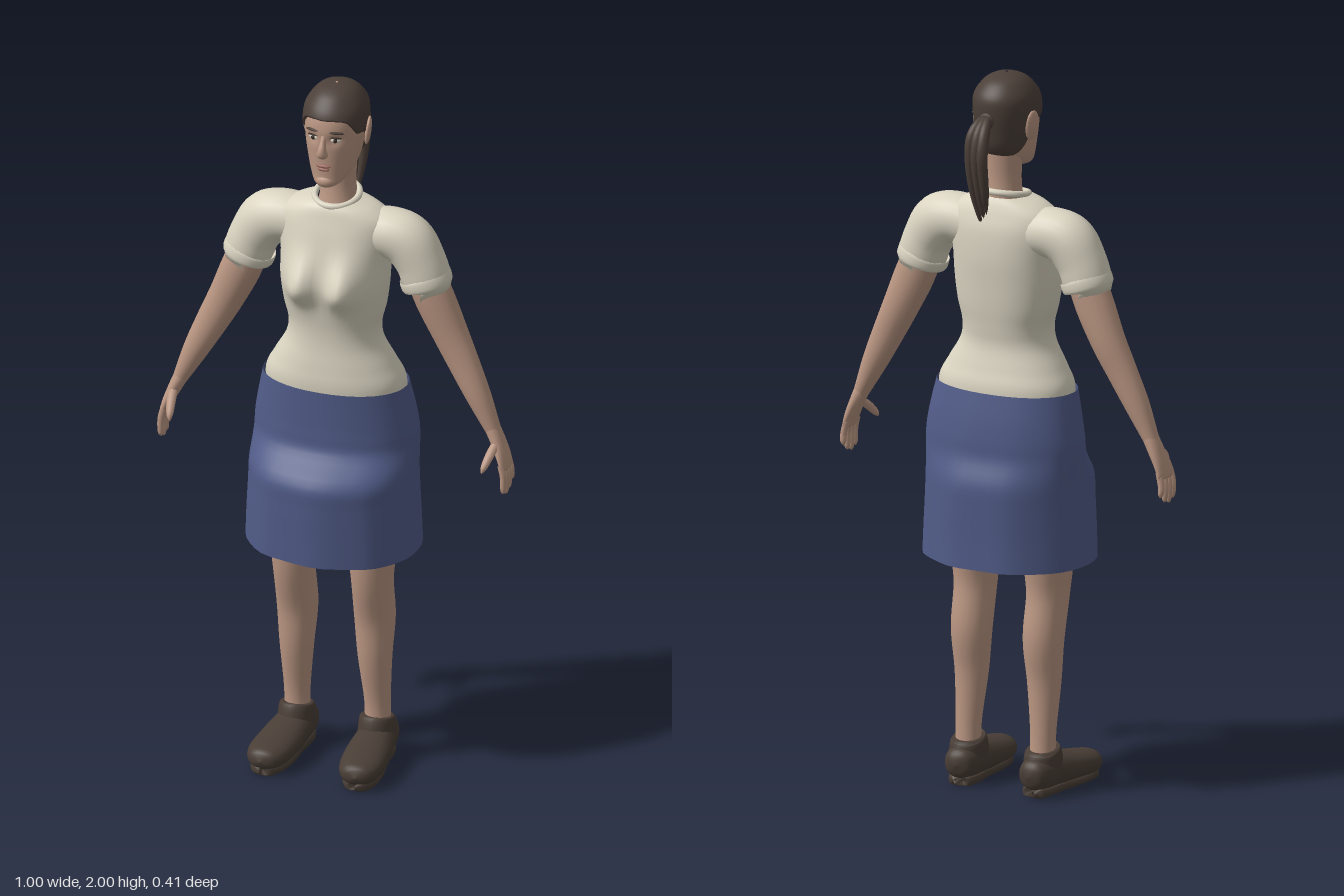
import * as THREE from 'three';

const mat = (name, color, side = THREE.FrontSide) => {
  const m = new THREE.MeshStandardMaterial({ color, side });
  m.name = name;
  return m;
};

// Smooth interpolation through rows of numbers, t from 0 to 1
function spline(rows, t) {
  const f = Math.min(Math.max(t, 0), 1) * (rows.length - 1);
  const i = Math.min(Math.floor(f), rows.length - 2), k = f - i;
  const at = (j) => rows[Math.min(Math.max(j, 0), rows.length - 1)];
  return rows[0].map((_, c) => {
    const a = at(i - 1)[c], b = at(i)[c], d = at(i + 1)[c], e = at(i + 2)[c];
    return b + 0.5 * k * (d - a + k * (2 * a - 5 * b + 4 * d - e + k * (3 * (b - d) + e - a)));
  });
}

// Closed rings stacked into a smooth surface; fn(angle, v) gives [x, y, z]
function surface(fn, nu, nv) {
  const pos = [], idx = [];
  for (let j = 0; j <= nv; j++)
    for (let i = 0; i < nu; i++) pos.push(...fn((i / nu) * Math.PI * 2, j / nv));
  for (let j = 0; j < nv; j++)
    for (let i = 0; i < nu; i++) {
      const a = j * nu + i, b = j * nu + (i + 1) % nu;
      idx.push(a, b, b + nu, a, b + nu, a + nu);
    }
  const g = new THREE.BufferGeometry();
  g.setAttribute('position', new THREE.Float32BufferAttribute(pos, 3));
  g.setIndex(idx);
  g.computeVertexNormals();
  return g;
}

// Signed power, squares off an ellipse when p < 1
const sp = (v, p) => Math.sign(v) * Math.abs(v) ** p;

// Point on an upright section given by [y, halfWidth, zFront, zBack]
function section([y, w, zf, zb], a, p = 1, grow = 0) {
  return [(w + grow) * sp(Math.sin(a), p), y, (zf + zb) / 2 + ((zf - zb) / 2 + grow) * sp(Math.cos(a), p)];
}

// Limb along rows of [x, y, z, radius, radius along ref]
function limb(rows, ref, nu = 14, nv = rows.length * 4, p = 1) {
  return surface((a, v) => {
    const [x, y, z, r1, r2] = spline(rows, v);
    const q = spline(rows, v - 0.01), s = spline(rows, v + 0.01);
    const t = new THREE.Vector3(s[0] - q[0], s[1] - q[1], s[2] - q[2]).normalize();
    const e2 = ref.clone().addScaledVector(t, -ref.dot(t)).normalize();
    const e1 = e2.clone().cross(t);
    return new THREE.Vector3(x, y, z).addScaledVector(e1, Math.max(r1, 0) * sp(Math.cos(a), p))
      .addScaledVector(e2, Math.max(r2, 0) * sp(Math.sin(a), p)).toArray();
  }, nu, nv);
}

const X = new THREE.Vector3(1, 0, 0), Z = new THREE.Vector3(0, 0, 1);

const TORSO = [
  [1.03, 0.185, 0.09, -0.135], [1.13, 0.195, 0.1, -0.14], [1.19, 0.168, 0.095, -0.125], [1.25, 0.134, 0.087, -0.11],
  [1.3, 0.127, 0.086, -0.112], [1.36, 0.141, 0.092, -0.118], [1.43, 0.15, 0.095, -0.122], [1.5, 0.152, 0.085, -0.125],
  [1.57, 0.16, 0.07, -0.12], [1.615, 0.155, 0.056, -0.107], [1.645, 0.115, 0.045, -0.095], [1.662, 0.062, 0.032, -0.085]];
const SKIRT = [
  [1.13, 0.203, 0.11, -0.148], [1.06, 0.218, 0.112, -0.162], [1.0, 0.228, 0.115, -0.17], [0.95, 0.23, 0.125, -0.175],
  [0.885, 0.23, 0.19, -0.2], [0.82, 0.232, 0.196, -0.203], [0.73, 0.237, 0.196, -0.203], [0.65, 0.24, 0.196, -0.205]].reverse();
const HEAD = [
  [1.724, 0.006, 0.065, 0.045], [1.735, 0.034, 0.08, 0.0], [1.76, 0.055, 0.077, -0.06], [1.8, 0.068, 0.078, -0.096],
  [1.85, 0.077, 0.08, -0.11], [1.9, 0.081, 0.081, -0.119], [1.94, 0.077, 0.07, -0.117], [1.972, 0.056, 0.042, -0.092],
  [1.988, 0.033, 0.012, -0.062], [1.995, 0.001, -0.021, -0.023]];
const HAIRLINE = [[1.925], [1.925], [1.915], [1.875], [1.865], [1.8], [1.778], [1.772], [1.772]];

// Head section at a given height
function headAt(y) {
  let lo = 0, hi = 1;
  for (let i = 0; i < 24; i++) {
    const m = (lo + hi) / 2;
    if (spline(HEAD, m)[0] < y) lo = m; else hi = m;
  }
  return spline(HEAD, lo);
}
const faceZ = (x, y) => {
  const s = headAt(y);
  return section(s, Math.asin(x / s[1]))[2];
};

export function createModel() {
  const root = new THREE.Group();
  const skin = mat('skin', 0xbb9783), shirt = mat('shirt cream', 0xdad4c1);
  const skirt = mat('skirt blue', 0x515c88, THREE.DoubleSide), hair = mat('hair brown', 0x4c4039);
  const shoe = mat('shoe brown', 0x493e36), lip = mat('lip', 0x99695e);
  const white = mat('eye white', 0xd6cfc6), iris = mat('iris', 0x33291f);
  const add = (name, geo, m) => {
    const mesh = new THREE.Mesh(geo, m);
    mesh.name = name;
    root.add(mesh);
    return mesh;
  };
  const blob = (name, m, x, y, z, sx, sy, sz, rz = 0, ry = 0) => {
    const b = add(name, new THREE.SphereGeometry(1, 14, 10), m);
    b.position.set(x, y, z);
    b.scale.set(sx, sy, sz);
    b.rotation.set(0, ry, rz);
  };

  // Shirt body with bust
  add('shirtBody', surface((a, v) => {
    const q = section(spline(TORSO, v), a, 0.88);
    if (Math.cos(a) > 0) {
      const d = ((Math.abs(q[0]) - 0.062) / 0.045) ** 2 + ((q[1] - 1.432) / (q[1] > 1.432 ? 0.075 : 0.05)) ** 2;
      q[2] += 0.05 * Math.exp(-d) * Math.min(1, Math.cos(a) * 2);
    }
    return q;
  }, 56, 60), shirt);
  const collar = [];
  for (let i = 0; i < 16; i++) {
    const a = (i / 16) * Math.PI * 2;
    collar.push(new THREE.Vector3(0.06 * Math.sin(a), 1.666 - 0.012 * Math.cos(a), -0.026 + 0.062 * Math.cos(a)));
  }
  add('collar', new THREE.TubeGeometry(new THREE.CatmullRomCurve3(collar, true), 40, 0.009, 8, true), shirt);

  // Open skirt with soft folds
  add('skirt', surface((a, v) => {
    const q = section(spline(SKIRT, v), a, 0.93);
    const fold = 1 + 0.018 * (1 - v) * Math.sin(9 * a + 1);
    return [q[0], q[1], q[2] * fold];
  }, 40, 28), skirt);

  // Neck and head
  add('neck', surface((a, v) => section(spline([[1.62, 0.058, 0.025, -0.088], [1.67, 0.05, 0.012, -0.085],
    [1.72, 0.048, 0.008, -0.083], [1.8, 0.052, 0.015, -0.09]], v), a), 24, 12), skin);
  add('head', surface((a, v) => {
    const q = section(spline(HEAD, v), a, 0.95);
    // Eye sockets
    if (Math.cos(a) > 0)
      q[2] -= 0.008 * Math.exp(-(((Math.abs(q[0]) - 0.032) / 0.018) ** 2) - ((q[1] - 1.872) / 0.014) ** 2);
    return q;
  }, 48, 50), skin);

  // Hair cap following the hairline, tucked in at its edge
  add('hairCap', surface((a, v) => {
    const side = a > Math.PI ? 2 * Math.PI - a : a;
    const low = spline(HAIRLINE, side / Math.PI)[0];
    const y = low + (1.9945 - low) * Math.sin((v * Math.PI) / 2);
    const q = section(headAt(y), a, 0.95, v === 0 ? -0.004 : v === 1 ? 0 : 0.006);
    q[1] += 0.0055 * v;
    return q;
  }, 48, 28), hair);

  // Ponytail with three strands and a tie
  for (const s of [-1, 0, 1])
    add('ponytailStrand', limb([[0, 1.885, -0.11, 0.01, 0.01], [s * 0.008, 1.89, -0.14, 0.015, 0.012],
      [s * 0.018, 1.86, -0.175, 0.017, 0.015], [s * 0.021, 1.8, -0.188 + 0.004 * s, 0.016, 0.015],
      [s * 0.018, 1.71, -0.174, 0.013, 0.012], [s * 0.01, 1.64 - s * 0.015, -0.152, 0.007, 0.006],
      [s * 0.008, 1.62 - s * 0.01, -0.146, 0, 0]], X, 10, 28), hair);
  const tie = add('hairTie', new THREE.TorusGeometry(0.016, 0.007, 8, 16), hair);
  tie.position.set(0, 1.888, -0.133);

  // Nose and mouth
  add('nose', limb([[0, 1.885, 0.076, 0.005, 0.007], [0, 1.865, 0.081, 0.01, 0.008], [0, 1.843, 0.088, 0.014, 0.012],
    [0, 1.829, 0.086, 0.012, 0.016], [0, 1.824, 0.08, 0, 0]], X, 14, 20), skin);
  blob('upperLip', lip, 0, 1.794, faceZ(0, 1.794), 0.021, 0.0055, 0.007);
  blob('lowerLip', lip, 0, 1.784, faceZ(0, 1.784), 0.017, 0.0055, 0.007);
  blob('chin', skin, 0, 1.745, 0.066, 0.026, 0.018, 0.018);

  for (const s of [1, -1]) {
    const m = (rows) => rows.map(([x, ...rest]) => [s * x, ...rest]);
    // Eyes, brows and ears
    const ez = faceZ(0.032, 1.872) - 0.005;
    blob('eye', white, s * 0.032, 1.872, ez, 0.015, 0.0075, 0.006, 0, s * 0.35);
    blob('iris', iris, s * 0.031, 1.872, ez + 0.004, 0.0065, 0.0068, 0.004);
    blob('upperLid', iris, s * 0.033, 1.8795, ez + 0.003, 0.017, 0.0022, 0.004, -s * 0.05, s * 0.35);
    blob('brow', hair, s * 0.035, 1.895, faceZ(0.035, 1.895), 0.021, 0.004, 0.005, -s * 0.1, s * 0.4);
    blob('ear', skin, s * 0.085, 1.865, -0.035, 0.009, 0.042, 0.024, -s * 0.12, s * 0.25);

    // Sleeve, cuff and arm
    add('sleeve', limb(m([[0.09, 1.565, -0.032, 0.068, 0.07], [0.15, 1.572, -0.032, 0.07, 0.072],
      [0.2, 1.555, -0.032, 0.075, 0.07], [0.236, 1.505, -0.031, 0.069, 0.066], [0.256, 1.45, -0.031, 0.066, 0.063],
      [0.259, 1.44, -0.031, 0.045, 0.045]]), Z, 24, 30), shirt);
    add('sleeveCuff', limb(m([[0.246, 1.468, -0.031, 0.06, 0.058], [0.248, 1.464, -0.031, 0.071, 0.067],
      [0.258, 1.436, -0.031, 0.07, 0.066], [0.259, 1.432, -0.031, 0.05, 0.05]]), Z, 24, 12), shirt);
    add('arm', limb(m([[0.235, 1.5, -0.032, 0.05, 0.048], [0.275, 1.4, -0.034, 0.056, 0.048],
      [0.32, 1.3, -0.036, 0.05, 0.043], [0.36, 1.22, -0.032, 0.044, 0.037], [0.405, 1.13, -0.027, 0.035, 0.033],
      [0.445, 1.045, -0.025, 0.022, 0.025], [0.457, 1.02, -0.025, 0.018, 0.025]]), Z, 18, 28), skin);

    // Hand
    add('palm', limb(m([[0.445, 1.045, -0.025, 0.021, 0.025], [0.464, 1.005, -0.023, 0.018, 0.031],
      [0.481, 0.965, -0.018, 0.014, 0.038], [0.489, 0.938, -0.016, 0.01, 0.036], [0.491, 0.932, -0.016, 0, 0]]), Z, 16), skin);
    for (let i = 0; i < 4; i++) {
      const z = -0.046 + i * 0.02, tip = 0.862 + [0.022, 0.006, 0, 0.008][i];
      add('finger', limb(m([[0.483, 0.955, z, 0.009, 0.009], [0.491, 0.92, z, 0.0095, 0.0095],
        [0.491, tip + 0.012, z * 1.05, 0.008, 0.008], [0.488, tip, z * 1.05, 0, 0]]), Z, 8, 12), skin);
    }
    add('thumb', limb(m([[0.462, 1.005, -0.005, 0.012, 0.012], [0.457, 0.985, 0.025, 0.012, 0.013],
      [0.45, 0.958, 0.054, 0.009, 0.009], [0.447, 0.945, 0.064, 0, 0]]), X, 8, 12), skin);

    // Leg
    add('leg', limb(m([[0.095, 1.06, -0.02, 0.09, 0.085], [0.1, 0.9, -0.01, 0.095, 0.088], [0.108, 0.77, 0.0, 0.086, 0.078],
      [0.112, 0.65, 0.005, 0.075, 0.068], [0.112, 0.55, 0.004, 0.065, 0.057], [0.111, 0.43, -0.018, 0.058, 0.056],
      [0.112, 0.31, -0.016, 0.046, 0.047], [0.115, 0.17, -0.027, 0.034, 0.036], [0.115, 0.08, -0.03, 0.036, 0.036]]), X, 20, 40), skin);

    // Shoe, collar and sole
    add('shoeUpper', limb(m([[0.112, 0.06, -0.105, 0, 0], [0.113, 0.061, -0.094, 0.034, 0.034], [0.115, 0.062, -0.06, 0.047, 0.048],
      [0.118, 0.061, 0, 0.047, 0.054], [0.125, 0.053, 0.08, 0.04, 0.061], [0.132, 0.046, 0.15, 0.034, 0.058],
      [0.136, 0.044, 0.19, 0.026, 0.038], [0.137, 0.044, 0.204, 0, 0]]), X, 20, 32, 0.9), shoe);
    add('shoeCollar', limb(m([[0.115, 0.125, -0.029, 0.034, 0.034], [0.115, 0.125, -0.029, 0.046, 0.043],
      [0.115, 0.113, -0.027, 0.056, 0.049], [0.115, 0.07, -0.025, 0.064, 0.052]]), X, 20, 12), shoe);
    add('shoeSole', limb(m([[0.113, 0.014, -0.085, 0, 0], [0.113, 0.014, -0.082, 0.014, 0.03], [0.115, 0.014, -0.05, 0.014, 0.042],
      [0.12, 0.014, 0.02, 0.014, 0.044], [0.127, 0.014, 0.1, 0.014, 0.052], [0.133, 0.014, 0.16, 0.014, 0.046],
      [0.136, 0.014, 0.19, 0.014, 0.026], [0.136, 0.014, 0.193, 0, 0]]), X, 16, 28, 0.5), shoe);
  }
  return root;
}
